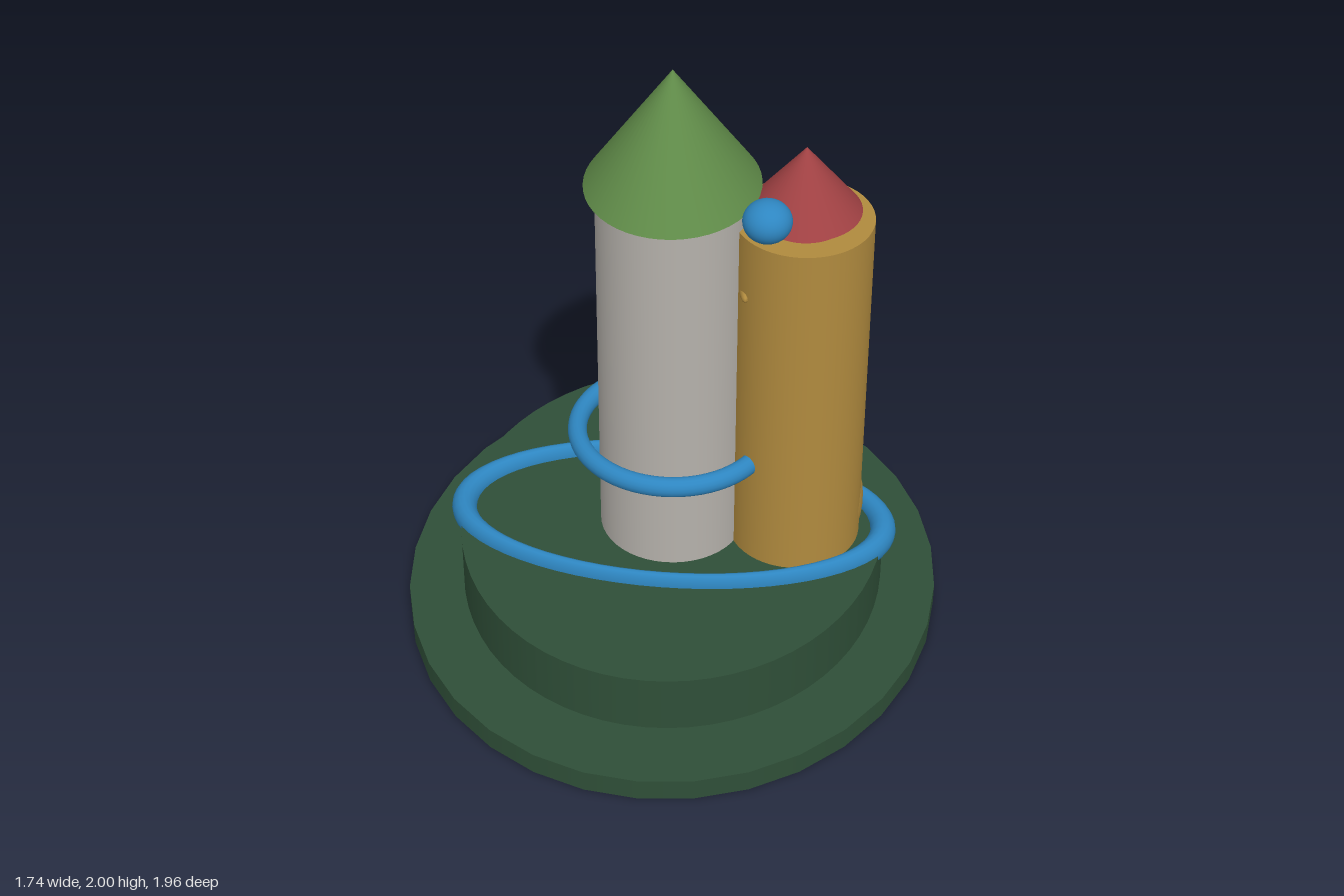
import * as THREE from 'three';

const paint = (name, color) => {
  const m = new THREE.MeshStandardMaterial({ color });
  m.name = name;
  return m;
};

export function createModel() {
  const group = new THREE.Group();
  const darkGreen = paint('dark green', 0x2f4f38);
  const leafGreen = paint('leaf green', 0x5f8a48);
  const stone = paint('pale stone', 0xb5b1ab);
  const gold = paint('gold', 0xb08a3e);
  const blue = paint('blue', 0x2e86c1);
  const red = paint('red', 0xa04143);

  const add = (name, geometry, material, x = 0, y = 0, z = 0) => {
    const mesh = new THREE.Mesh(geometry, material);
    mesh.name = name;
    mesh.position.set(x, y, z);
    group.add(mesh);
    return mesh;
  };

  // Upright drum or cone with an oval footprint, from y0 to y1
  const drum = (name, material, x, y0, y1, rx, rz, topScale = 1, sides = 48) =>
    add(name, new THREE.CylinderGeometry(topScale, 1, y1 - y0, sides).scale(rx, 1, rz),
      material, x, (y0 + y1) / 2);

  // Flat oval hoop, measured to the middle of its tube
  const hoop = (name, y, rx, rz, tube, halfHeight) =>
    add(name, new THREE.TorusGeometry(1, tube, 16, 64).rotateX(Math.PI / 2)
      .scale(rx, halfHeight / tube, rz), blue, 0, y);

  // Two-step oval base with a narrow gap between the steps
  drum('lowerBase', darkGreen, 0, 0, 0.075, 0.87, 0.98, 1, 32);
  drum('upperBase', darkGreen, 0, 0.1, 0.3, 0.69, 0.775, 1, 64);

  // Main tower and its roof
  drum('mainTower', stone, 0, 0.3, 1.61, 0.235, 0.232);
  drum('mainRoof', leafGreen, 0, 1.61, 2, 0.268, 0.302, 0);

  // Side tower with a two-tier roof
  drum('sideTower', gold, 0.397, 0.3, 1.515, 0.213, 0.215);
  drum('roofCollar', red, 0.397, 1.515, 1.548, 0.135, 0.14, 0.8);
  drum('sideRoof', red, 0.397, 1.545, 1.762, 0.173, 0.175, 0);

  // Slight swellings at the foot and inner seam of the side tower
  const bulge = new THREE.SphereGeometry(1, 20, 14);
  add('footBulge', bulge, gold, 0.585, 0.4, -0.03).scale.set(0.033, 0.11, 0.09);
  add('seamBulge', bulge, gold, 0.235, 1.3, 0).scale.set(0.03, 0.035, 0.155);

  // Hoops and floating ball
  hoop('towerHoop', 0.67, 0.305, 0.295, 0.1, 0.033);
  hoop('baseHoop', 0.298, 0.69, 0.332, 0.06, 0.047);
  add('ball', new THREE.SphereGeometry(0.073, 32, 20).scale(1, 0.88, 1), blue, 0.305, 1.688, 0.288);

  return group;
}
